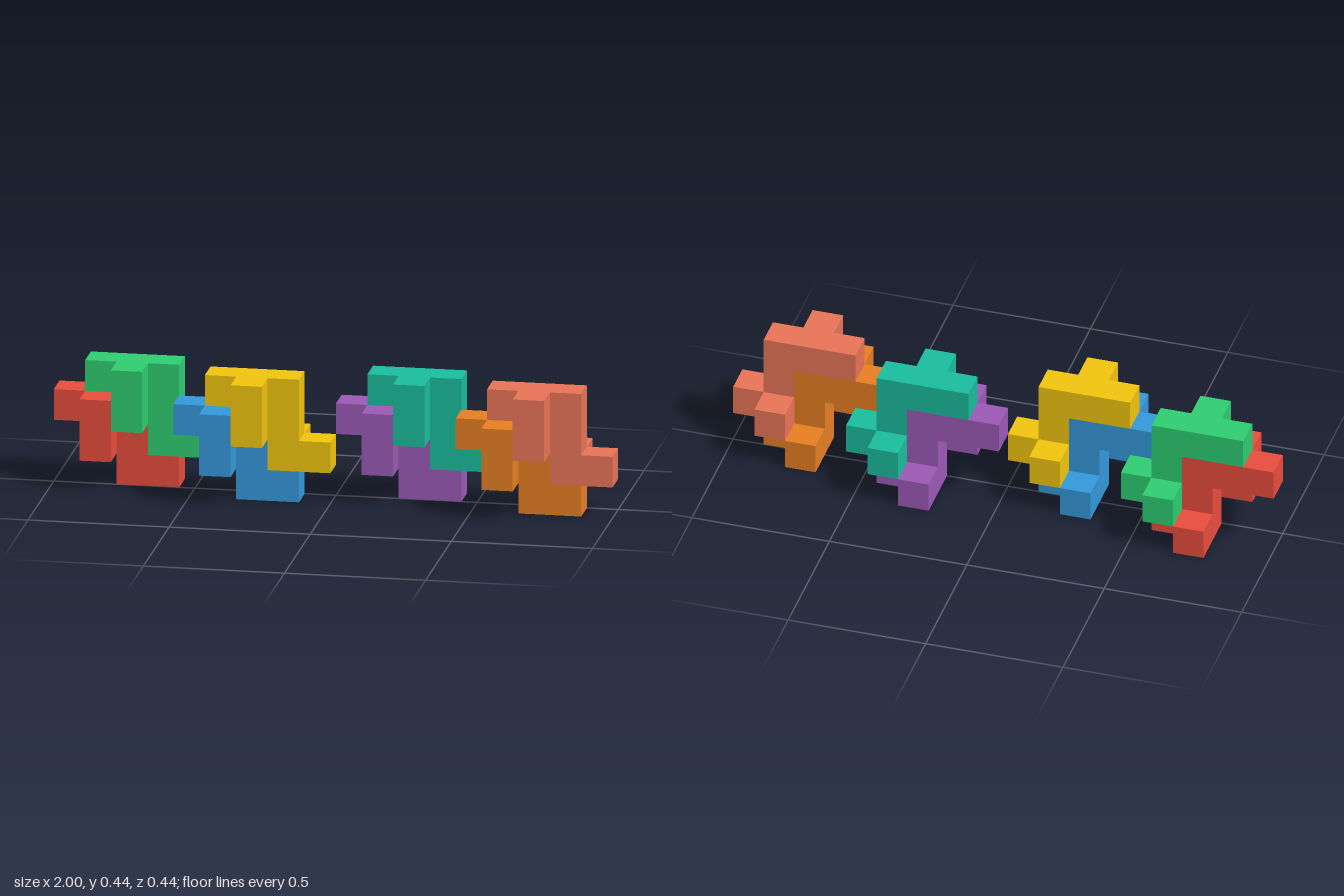
import * as THREE from 'three';

const U = 1 / 9; // edge of one cube cell

// Stepped middle slab of a piece, in cells
const SLAB = [[0, 3], [0, 2], [2, 2], [2, 0], [4, 0], [4, 1], [3, 1], [3, 3]];

function box(name, w, h, d, x, y, z, material) {
  const geometry = new THREE.BoxGeometry(w, h, d);
  geometry.translate(x + w / 2, y + h / 2, z + d / 2);
  const mesh = new THREE.Mesh(geometry, material);
  mesh.name = name;
  return mesh;
}

// One interlocking block: slab, two-cell front arm and single rear cube
function createPiece(name, color) {
  const piece = new THREE.Group();
  piece.name = name;
  const material = new THREE.MeshStandardMaterial({ color });
  const shape = new THREE.Shape(SLAB.map(([x, y]) => new THREE.Vector2(x, y)));
  const slab = new THREE.Mesh(
    new THREE.ExtrudeGeometry(shape, { depth: 1, bevelEnabled: false }), material);
  slab.name = 'steppedSlab';
  piece.add(
    slab,
    box('frontArm', 1, 2, 1, 1, 1, 1, material),
    box('rearCube', 1, 1, 1, 2, 0, -1, material)
  );
  return piece;
}

export function createModel() {
  const model = new THREE.Group();
  model.name = 'interlockingBlocks';

  // Each pair: cell offset in x and z, lower and upper block colours
  const pairs = [
    [0, 0, 0xe74c3c, 0x2ecc71],
    [4, 1, 0x3498db, 0xf1c40f],
    [9, 0, 0x9b59b6, 0x1abc9c],
    [13, 1, 0xe67e22, 0xe87456],
  ];
  pairs.forEach(([x, z, lowerColor, upperColor], i) => {
    const pair = new THREE.Group();
    pair.name = `blockPair${i + 1}`;
    const lower = createPiece('lowerBlock', lowerColor);
    const upper = createPiece('upperBlock', upperColor);
    upper.position.set(1, 1, 0); // nests one cell across and up
    pair.add(lower, upper);
    pair.scale.setScalar(U);
    pair.position.set((x - 9) * U, 0, (z - 1) * U);
    model.add(pair);
  });
  return model;
}
